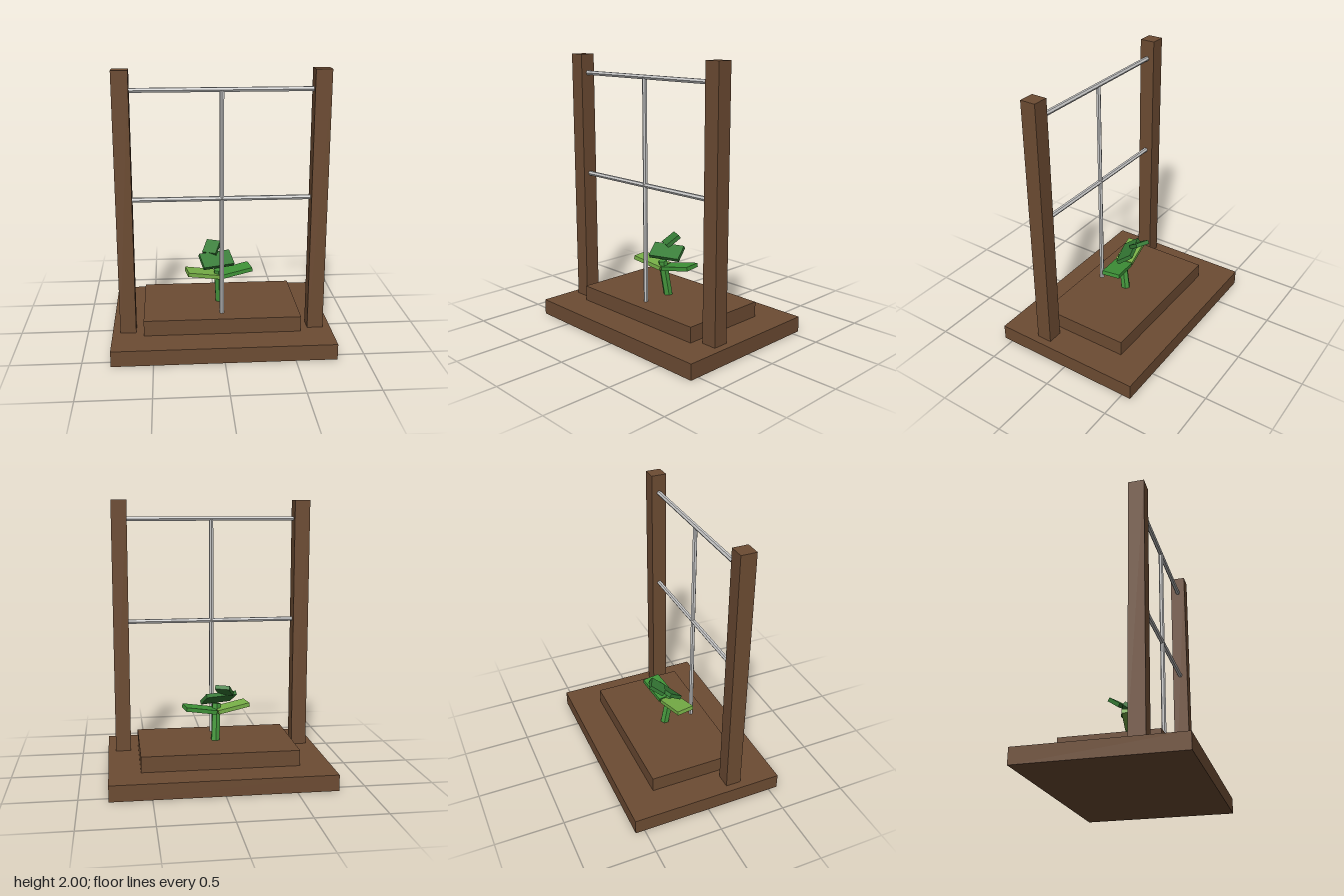
import * as THREE from 'three';

const material = (name, color) => {
  const m = new THREE.MeshStandardMaterial({ color, flatShading: true });
  m.name = name;
  return m;
};

export function createModel() {
  const group = new THREE.Group();
  const wood = material('brown wood', 0x6d4c33);
  const metal = material('light grey wire', 0xcacaca);
  const stemGreen = material('stem green', 0x469a3e);
  const midGreen = material('leaf green', 0x3f9438);
  const lightGreen = material('light leaf green', 0x78b148);
  const darkGreen = material('dark leaf green', 0x367c36);

  const add = (name, geometry, mat, position, rotation = [0, 0, 0]) => {
    const mesh = new THREE.Mesh(geometry, mat);
    mesh.name = name;
    mesh.position.set(...position);
    mesh.rotation.set(...rotation.map(THREE.MathUtils.degToRad), 'YXZ');
    group.add(mesh);
    return mesh;
  };
  const box = (...size) => new THREE.BoxGeometry(...size);
  const rod = (radius, length) => new THREE.CylinderGeometry(radius, radius, length, 6);

  // Stepped planter base
  add('base', box(1.59, 0.115, 1.136), wood, [0, 0.0575, 0]);
  add('bed', box(1.136, 0.115, 0.68), wood, [0, 0.1715, 0]);

  // Trellis: two posts, two rails and a centre rod
  const trellisZ = 0.227;
  for (const side of [-1, 1]) {
    add(side > 0 ? 'leftPost' : 'rightPost', box(0.114, 1.886, 0.114), wood,
      [side * 0.682, 1.057, trellisZ]);
  }
  for (const [name, y] of [['lowerRail', 1.1], ['upperRail', 1.862]]) {
    add(name, rod(0.0175, 1.26), metal, [0, y, trellisZ], [0, 0, 90]);
  }
  add('centreRod', rod(0.017, 1.64), metal, [0, 1.045, trellisZ]);

  // Leaning stem
  add('stem', rod(0.034, 0.3), stemGreen, [-0.007, 0.35, 0.02], [9, 0, 3]);

  // Side leaves, raised at their tips
  add('leftLeaf', box(0.235, 0.03, 0.136), midGreen, [0.117, 0.469, -0.001], [0, 9.5, 10]);
  add('rightLeaf', box(0.245, 0.03, 0.136), lightGreen, [-0.129, 0.469, 0.042], [0, 9.5, -10]);

  // Upper leaves, tilted up towards the back
  add('upperLeaf', box(0.243, 0.03, 0.13), darkGreen, [-0.023, 0.553, -0.008], [35, 19, 0]);
  add('topLeaf', box(0.108, 0.03, 0.12), darkGreen, [-0.055, 0.624, -0.085], [35, -25, 0]);

  return group;
}
